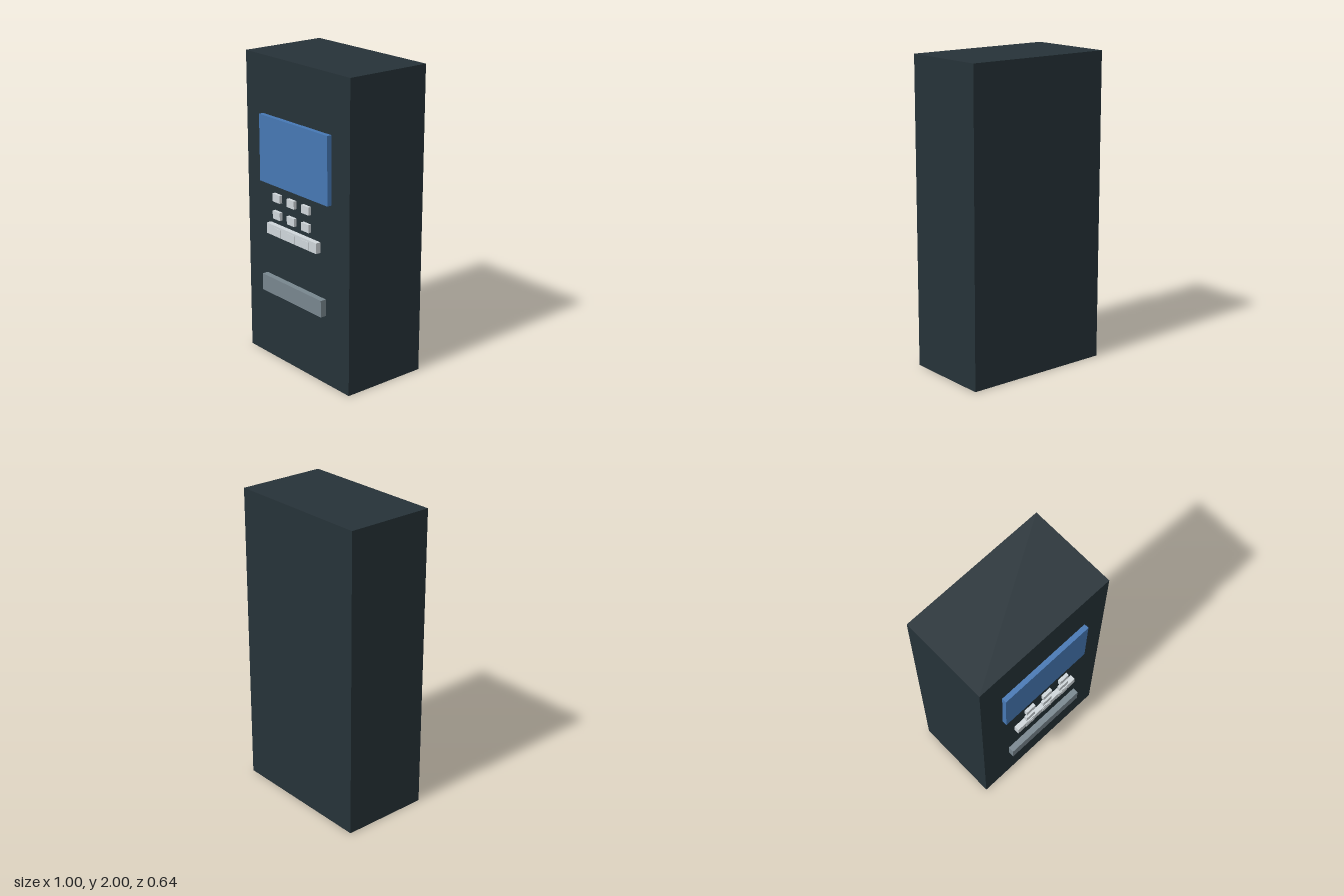
import * as THREE from 'three';

function material(name, color) {
  const m = new THREE.MeshStandardMaterial({ color });
  m.name = name;
  return m;
}

export function createModel() {
  const model = new THREE.Group();
  model.name = 'kiosk';

  const dark = material('dark slate', 0x263238);
  const blue = material('screen blue', 0x4678b4);
  const light = material('light grey', 0xcfd6da);
  const grey = material('mid grey', 0x78868e);

  // Box given by its centre x, half width, and y and z ranges
  function box(name, mat, x, halfWidth, y0, y1, z0, z1) {
    const mesh = new THREE.Mesh(new THREE.BoxGeometry(halfWidth * 2, y1 - y0, z1 - z0), mat);
    mesh.position.set(x, (y0 + y1) / 2, (z0 + z1) / 2);
    mesh.name = name;
    model.add(mesh);
  }

  box('cabinet', dark, 0, 0.5, 0, 2, -0.32, 0.268);
  box('screen', blue, 0, 0.333, 1.196, 1.63, 0.26, 0.3);

  // Keypad: three rows of three, the lowest row set into the card slot
  for (let row = 0; row < 3; row++) {
    for (let col = -1; col <= 1; col++) {
      const y = 1.128 - row * 0.113;
      box('keypadButton', light, col * 0.143, 0.036, y - 0.026, y + 0.026, 0.3, 0.321);
    }
  }

  box('cardSlot', light, 0, 0.247, 0.873, 0.942, 0.284, 0.318);
  box('cashTray', grey, 0, 0.295, 0.472, 0.582, 0.281, 0.321);

  return model;
}
